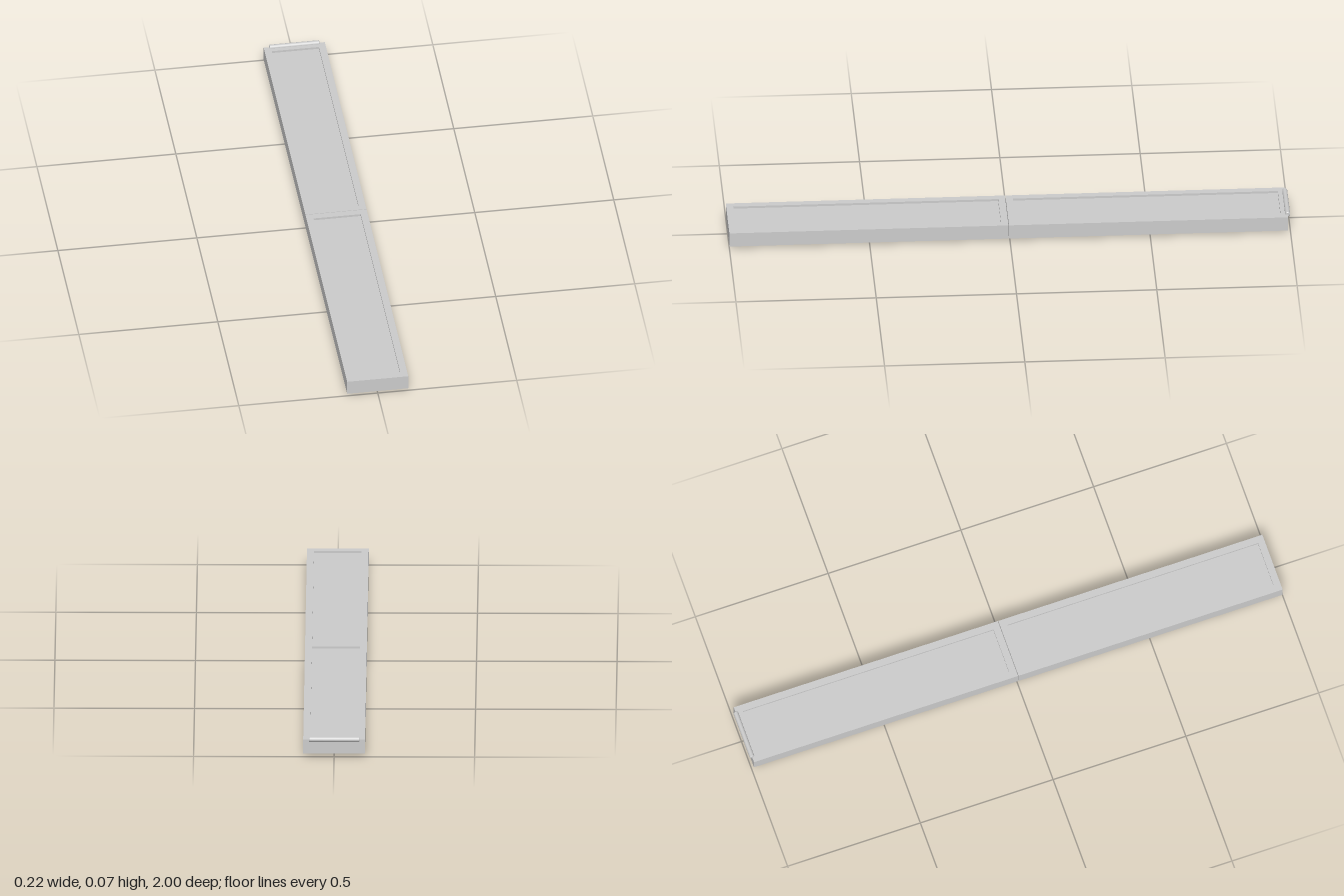
import * as THREE from 'three';

const material = new THREE.MeshStandardMaterial({ color: 0xcccccc, flatShading: true });
const smooth = new THREE.MeshStandardMaterial({ color: 0xcccccc });

const HALF_WIDTH = 0.11, BOTTOM = 0.009, TOP = 0.0625;
const RIM = 0.025, RECESS = 0.008, SEAM = 0.0045, GAP = 0.001;
const RADIUS = 0.009, HINGE_HALF = 0.09, BEVEL = 0.002;

function rectangle(PathType, x, z) {
  return new PathType([
    new THREE.Vector2(-x, -z), new THREE.Vector2(x, -z),
    new THREE.Vector2(x, z), new THREE.Vector2(-x, z),
  ]);
}

// Leaf: a raised rim around a shallow recessed floor
function createLeaf(name, z0, z1) {
  const leaf = new THREE.Group();
  leaf.name = name;
  const half = (z1 - z0) / 2, height = TOP - BOTTOM;

  const outline = rectangle(THREE.Shape, HALF_WIDTH, half);
  outline.holes.push(rectangle(THREE.Path, HALF_WIDTH - RIM, half - RIM));
  const rimGeometry = new THREE.ExtrudeGeometry(outline, { depth: height, bevelEnabled: false });
  rimGeometry.rotateX(-Math.PI / 2);
  const rim = new THREE.Mesh(rimGeometry, material);
  rim.name = 'rim';

  const floorHeight = height - RECESS;
  const floor = new THREE.Mesh(
    new THREE.BoxGeometry(2 * (HALF_WIDTH - RIM), floorHeight, 2 * (half - RIM)), material);
  floor.name = 'recessedFloor';
  floor.position.y = floorHeight / 2;

  leaf.add(rim, floor);
  leaf.position.set(0, BOTTOM, (z0 + z1) / 2);
  return leaf;
}

// Hinge barrel: a round pin across the width with softened ends
function createHinge(name, y, z) {
  const rings = [
    [0, -HINGE_HALF], [RADIUS - BEVEL, -HINGE_HALF],
    [RADIUS - BEVEL, -HINGE_HALF], [RADIUS, -HINGE_HALF + BEVEL],
    [RADIUS, -HINGE_HALF + BEVEL], [RADIUS, HINGE_HALF - BEVEL],
    [RADIUS, HINGE_HALF - BEVEL], [RADIUS - BEVEL, HINGE_HALF],
    [RADIUS - BEVEL, HINGE_HALF], [0, HINGE_HALF],
  ].map(([r, h]) => new THREE.Vector2(r, h));
  const geometry = new THREE.LatheGeometry(rings, 24);
  geometry.rotateZ(-Math.PI / 2);
  const hinge = new THREE.Mesh(geometry, smooth);
  hinge.name = name;
  hinge.position.set(0, y, z);
  return hinge;
}

export function createModel() {
  const model = new THREE.Group();
  model.name = 'foldingPanel';
  model.add(
    createLeaf('frontLeaf', SEAM + GAP, 1),
    createLeaf('backLeaf', -0.991, SEAM - GAP),
    createHinge('middleHinge', BOTTOM, SEAM),
    createHinge('endHinge', TOP, -0.991),
  );
  return model;
}
